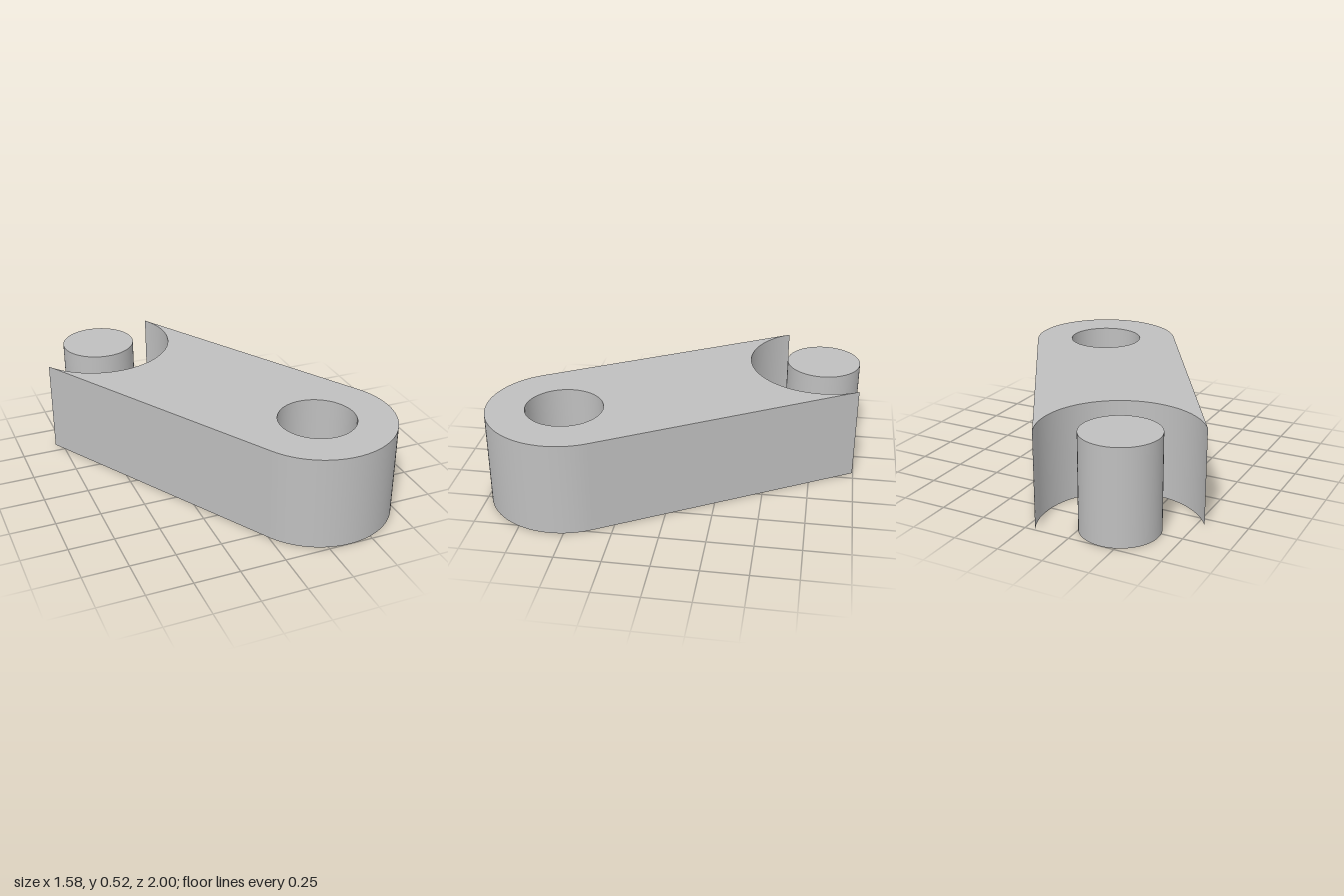
import * as THREE from 'three';
import { toCreasedNormals } from 'three/addons/utils/BufferGeometryUtils.js';

const HEIGHT = 0.525;
const HALF_WIDTH = 0.425;
const PIN_RADIUS = 0.211;
const HOLE_RADIUS = 0.212;
const HOLE = new THREE.Vector2(0.368, -0.575); // plan coordinates: x, -z
const PIN = new THREE.Vector2(-0.428, 0.789);

// Plan outline: rounded end around the hole, hollow end around the pin
function linkShape() {
  const a = Math.atan2(PIN.y - HOLE.y, PIN.x - HOLE.x);
  const tip = 0.02; // the hollow stops just short of a full half circle
  const shape = new THREE.Shape();
  shape.absarc(HOLE.x, HOLE.y, HALF_WIDTH, a + Math.PI / 2, a + Math.PI * 1.5, false);
  shape.absarc(PIN.x, PIN.y, HALF_WIDTH / Math.cos(tip),
    a + Math.PI * 1.5 - tip, a + Math.PI / 2 + tip, true);
  shape.closePath();

  const hole = new THREE.Path();
  hole.absarc(HOLE.x, HOLE.y, HOLE_RADIUS, 0, Math.PI * 2, true);
  shape.holes.push(hole);
  return shape;
}

export function createModel() {
  const group = new THREE.Group();
  group.name = 'linkAndPin';
  const grey = new THREE.MeshStandardMaterial({ color: 0xbfbfbf });
  grey.name = 'grey';

  // Link body with its through hole
  const body = new THREE.ExtrudeGeometry(linkShape(), {
    depth: HEIGHT, bevelEnabled: false, curveSegments: 48,
  });
  body.rotateX(-Math.PI / 2);
  const link = new THREE.Mesh(toCreasedNormals(body, 0.4), grey);
  link.name = 'linkBody';
  group.add(link);

  // Separate pin standing in the hollow end
  const pin = new THREE.Mesh(
    new THREE.CylinderGeometry(PIN_RADIUS, PIN_RADIUS, HEIGHT, 64), grey);
  pin.name = 'pin';
  pin.position.set(PIN.x, HEIGHT / 2, -PIN.y);
  group.add(pin);

  return group;
}
